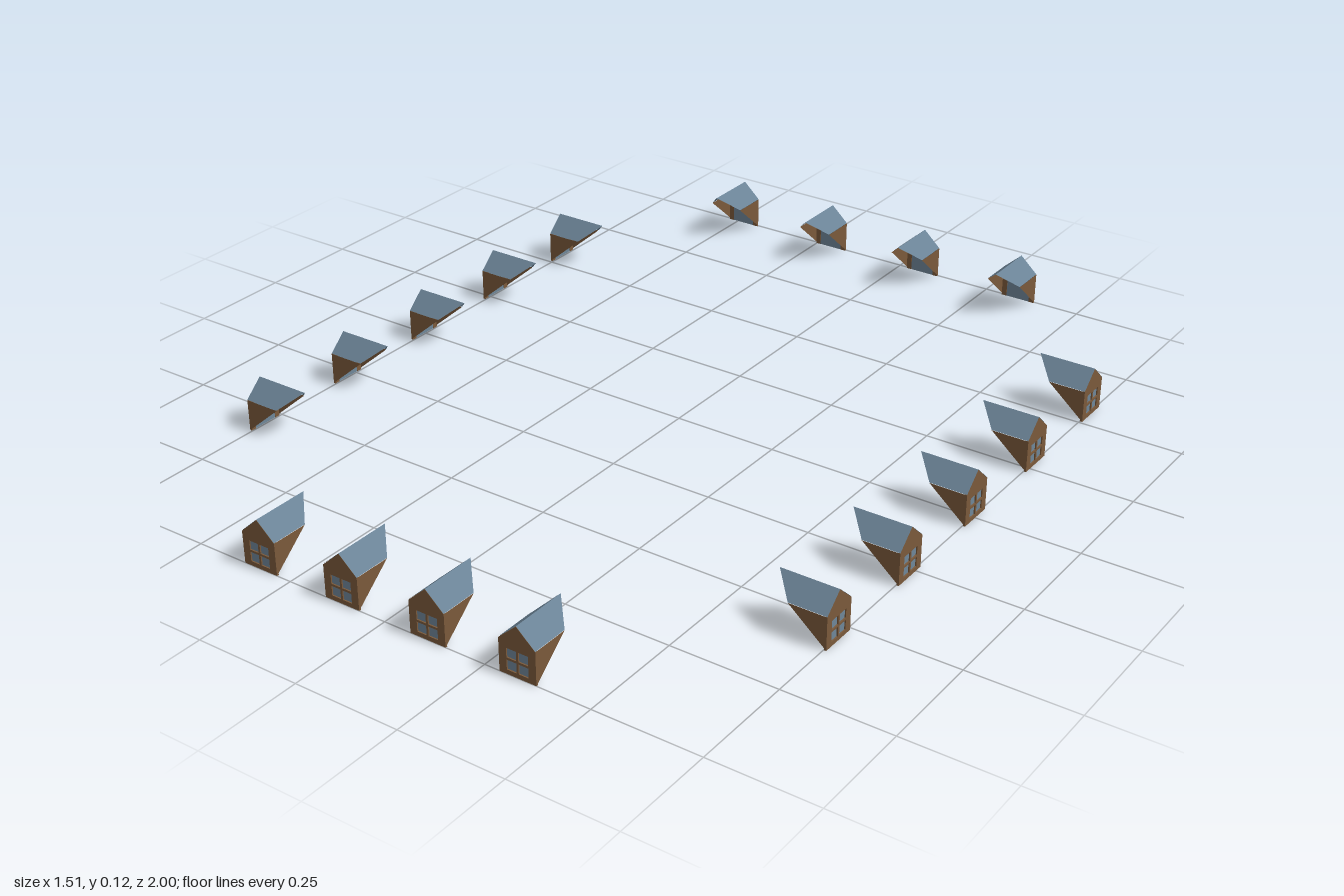
import * as THREE from 'three';

const W = 0.044, EAVE = 0.076, RIDGE = 0.116, DEPTH = 0.136; // half width, heights, ridge length
const EAVE_DEPTH = DEPTH * EAVE / RIDGE; // the underside is cut along the main roof slope

// Open sheet from a fan of corner points
function sheet(points) {
  const g = new THREE.BufferGeometry();
  g.setAttribute('position', new THREE.Float32BufferAttribute(points.flat(), 3));
  const index = [];
  for (let i = 1; i < points.length - 1; i++) index.push(0, i, i + 1);
  g.setIndex(index);
  g.computeVertexNormals();
  return g;
}

export function createModel() {
  const timber = new THREE.MeshStandardMaterial({ color: 0x7b5a3b, side: THREE.DoubleSide });
  const slate = new THREE.MeshStandardMaterial({ color: 0x6b8396, side: THREE.DoubleSide });
  const glass = new THREE.MeshStandardMaterial({ color: 0x6f8698, side: THREE.DoubleSide });
  timber.name = 'timber';
  slate.name = 'slate';
  glass.name = 'glass';

  // Gabled front wall, open at the bottom for the window
  const outline = [[-W, 0], [-0.031, 0], [-0.031, 0.064], [0.031, 0.064], [0.031, 0],
    [W, 0], [W, EAVE], [0, RIDGE], [-W, EAVE]].map(p => new THREE.Vector2(...p));
  const wallGeo = new THREE.ExtrudeGeometry(new THREE.Shape(outline), { depth: 0.005, bevelEnabled: false });
  wallGeo.translate(0, 0, -0.005);
  const glassGeo = new THREE.PlaneGeometry(0.062, 0.064).translate(0, 0.032, -0.004);

  // Window bars: [width, height, x, y]
  const bars = [[0.062, 0.01, 0, 0.005], [0.062, 0.005, 0, 0.0615], [0.062, 0.005, 0, 0.035],
    [0.005, 0.064, 0, 0.032], [0.005, 0.064, -0.0285, 0.032], [0.005, 0.064, 0.0285, 0.032]]
    .map(([w, h, x, y]) => new THREE.BoxGeometry(w, h, 0.003).translate(x, y, -0.0015));

  // Cheek walls and roof slopes, one for each side
  const cheeks = [], slopes = [];
  for (const s of [1, -1]) {
    const cheek = [[s * W, 0, 0], [s * W, EAVE, -EAVE_DEPTH], [s * W, EAVE, 0]];
    const slope = [[s * W, EAVE, 0], [s * W, EAVE, -EAVE_DEPTH], [0, RIDGE, -DEPTH], [0, RIDGE, 0]]
      .map(([x, y, z]) => [x, y + 0.0008, z]);
    cheeks.push(sheet(s > 0 ? cheek : cheek.reverse()));
    slopes.push(sheet(s > 0 ? slope : slope.reverse()));
  }

  function dormer(name, x, z, turn) {
    const g = new THREE.Group();
    g.name = name;
    const add = (part, geo, mat) => {
      const m = new THREE.Mesh(geo, mat);
      m.name = part;
      g.add(m);
    };
    add('gableWall', wallGeo, timber);
    add('windowGlass', glassGeo, glass);
    bars.forEach(b => add('windowBar', b, timber));
    cheeks.forEach(c => add('cheekWall', c, timber));
    slopes.forEach(s => add('roofSlope', s, slate));
    g.position.set(x, 0, z);
    g.rotation.y = turn;
    return g;
  }

  // Four rows, every window facing outwards
  const model = new THREE.Group();
  model.name = 'dormerWindows';
  for (const x of [-0.33, -0.11, 0.11, 0.33]) model.add(dormer('frontDormer', x, 1, 0));
  for (const x of [-0.482, -0.208, 0.066, 0.34]) model.add(dormer('backDormer', x, -1, Math.PI));
  for (const z of [-0.55, -0.275, 0, 0.275, 0.55]) {
    model.add(dormer('leftDormer', 0.756, z, Math.PI / 2));
    model.add(dormer('rightDormer', -0.757, z, -Math.PI / 2));
  }
  return model;
}
